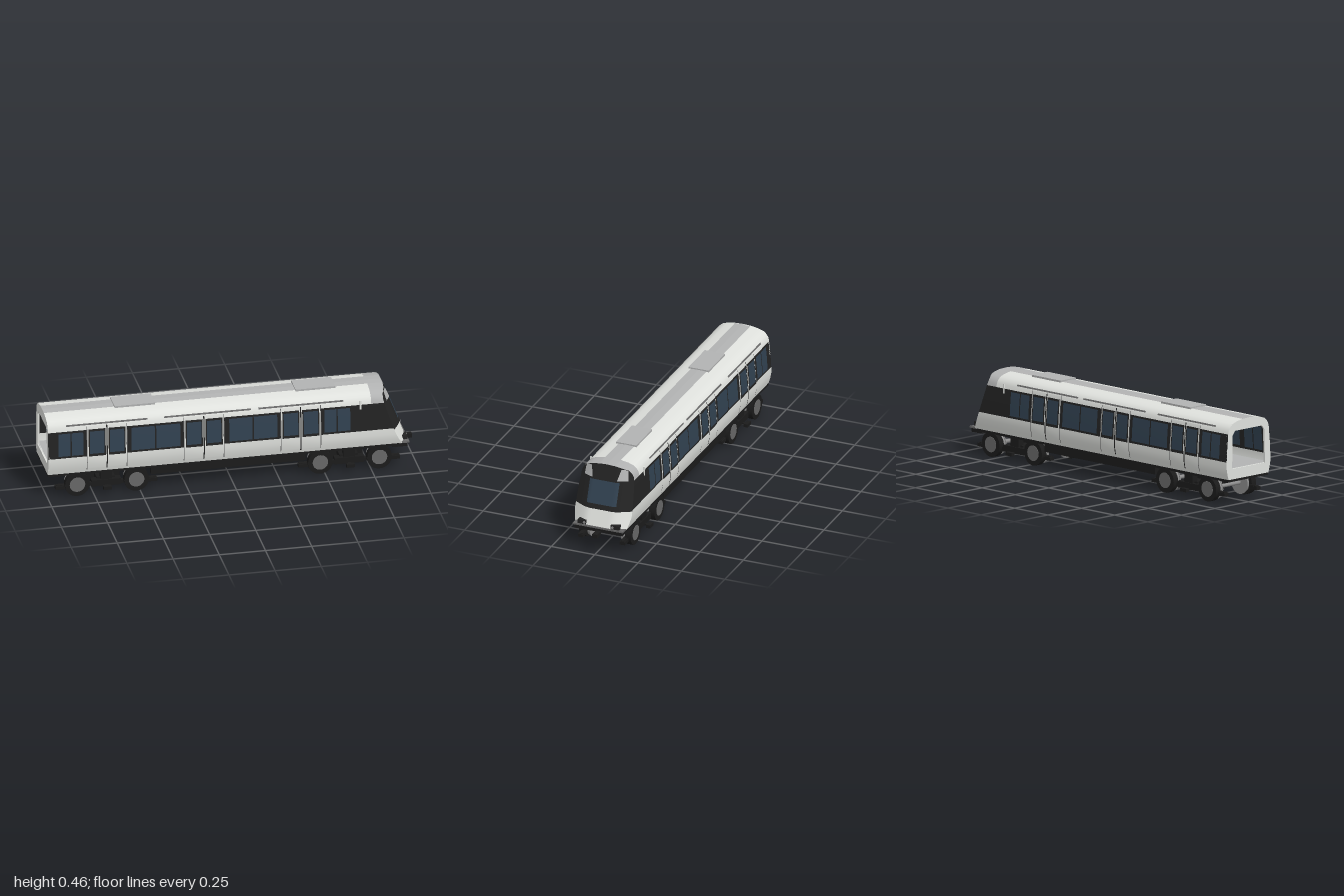
import * as THREE from 'three';

const mat = (name, color) => new THREE.MeshStandardMaterial({ name, color, side: THREE.DoubleSide });

// Half cross-section of the body: [half width, height]
const PROFILE = [[0.148, 0.138], [0.156, 0.165], [0.163, 0.2], [0.1625, 0.235], [0.158, 0.31], [0.151, 0.385],
  [0.146, 0.405], [0.136, 0.422], [0.119, 0.437], [0.09, 0.447], [0.045, 0.455], [0, 0.457]];

function halfWidth(y) {
  for (let i = 1; i < PROFILE.length; i++) {
    const [w0, y0] = PROFILE[i - 1], [w1, y1] = PROFILE[i];
    if (y <= y1) return w0 + (w1 - w0) * (y - y0) / (y1 - y0);
  }
  return 0;
}

// Heights between two limits, including the profile corners
const heights = (y0, y1) => [y0, ...PROFILE.map(p => p[1]).filter(y => y > y0 + 1e-4 && y < y1 - 1e-4), y1];

// Raked, corner-rounded cab front
const noseX = (y, z) => 0.953 - 0.38 * (y - 0.138) - 0.045 * Math.max(0, (Math.abs(z) - 0.07) / 0.09) ** 1.3;

// Surface from a rectangular grid of points
function grid(rows) {
  const n = rows[0].length, index = [];
  for (let i = 0; i < rows.length - 1; i++) for (let j = 0; j < n - 1; j++) {
    const a = i * n + j, b = a + n;
    index.push(a, b, a + 1, b, b + 1, a + 1);
  }
  const g = new THREE.BufferGeometry();
  g.setAttribute('position', new THREE.Float32BufferAttribute(rows.flat(2), 3));
  g.setIndex(index);
  g.computeVertexNormals();
  return g;
}

export function createModel() {
  const light = mat('lightShell', 0xdfe1dd), roof = mat('roofGrey', 0xb2b3b3), black = mat('blackBand', 0x232323),
    glass = mat('glass', 0x314150), under = mat('underframe', 0x1b1b1b), steel = mat('steel', 0x8c8c8c),
    hub = mat('hubGrey', 0x686868);
  const model = new THREE.Group();

  const add = (name, geo, m, x = 0, y = 0, z = 0, parent = model) => {
    const mesh = new THREE.Mesh(geo, m);
    mesh.name = name;
    mesh.position.set(x, y, z);
    parent.add(mesh);
    return mesh;
  };
  // Box given by its limits
  const box = (name, m, x0, x1, y0, y1, z0, z1, parent) => add(name, new THREE.BoxGeometry(x1 - x0, y1 - y0, z1 - z0), m,
    (x0 + x1) / 2, (y0 + y1) / 2, (z0 + z1) / 2, parent);
  const pair = (name, m, x0, x1, y0, y1, z0, z1, parent) => {
    box(name, m, x0, x1, y0, y1, z0, z1, parent);
    box(name, m, x0, x1, y0, y1, -z1, -z0, parent);
  };
  // Skin patch following the body side, mirrored; x1 = null runs it to the nose
  const side = (name, m, x0, x1, y0, y1, off = 0) => {
    for (const s of [1, -1]) {
      const ends = s > 0 ? [0, 1] : [1, 0];
      add(name, grid(ends.map(t => heights(y0, y1).map(y => {
        const w = halfWidth(y);
        return [t ? (x1 ?? noseX(y, w)) : x0, y, s * (w + off)];
      }))), m);
    }
  };
  // Patch on the cab front; limits of z are functions of height
  const front = (name, m, y0, y1, za, zb, off = 0, n = 20) => add(name, grid(heights(y0, y1).map(y =>
    Array.from({ length: n + 1 }, (_, i) => {
      const z = za(y) + (zb(y) - za(y)) * i / n;
      return [noseX(y, z) + off, y, z];
    }))), m);

  // Body shell
  side('lowerSide', light, -1, null, 0.138, 0.235);
  side('windowBand', black, -1, null, 0.235, 0.385);
  side('roofSide', light, -1, 0.75, 0.385, 0.455);
  side('cabRoofSide', roof, 0.75, null, 0.385, 0.455);
  side('roofCentre', roof, -1, null, 0.455, 0.457);
  box('interiorFloor', roof, -0.995, 0.82, 0.185, 0.195, -0.155, 0.155);

  // Open rear end wall with a gangway opening
  const wall = new THREE.Shape();
  PROFILE.forEach(([w, y], i) => (i ? wall.lineTo(w, y) : wall.moveTo(w, y)));
  [...PROFILE].reverse().slice(1).forEach(([w, y]) => wall.lineTo(-w, y));
  const hole = new THREE.Path();
  hole.moveTo(-0.122, 0.195).lineTo(-0.118, 0.375).lineTo(-0.1, 0.398).lineTo(0.1, 0.398)
    .lineTo(0.118, 0.375).lineTo(0.122, 0.195).closePath();
  wall.holes.push(hole);
  add('rearWall', new THREE.ExtrudeGeometry(wall, { depth: 0.01, bevelEnabled: false }), light, -1, 0, 0)
    .rotation.y = Math.PI / 2;

  // Side windows, seen from outside and inside
  const window = (x0, x1) => [0.003, -0.003].forEach(o => side('sideWindow', glass, x0, x1, 0.247, 0.375, o));
  [[-0.945, -0.88], [-0.873, -0.81], [-0.55, -0.423], [-0.415, -0.285], [-0.02, 0.105], [0.113, 0.24],
    [0.495, 0.56], [0.567, 0.635]].forEach(([a, b]) => window(a, b));

  // Sliding doors with two leaves each
  for (const c of [-0.682, -0.157, 0.367]) {
    for (const d of [-0.054, 0.054]) {
      const x = c + d;
      side('doorLeaf', light, x - 0.052, x + 0.052, 0.155, 0.405, 0.003);
      side('doorWindowFrame', black, x - 0.046, x + 0.046, 0.235, 0.388, 0.005);
      side('doorWindow', glass, x - 0.039, x + 0.039, 0.25, 0.377, 0.007);
      side('doorWindowInside', glass, x - 0.039, x + 0.039, 0.25, 0.377, -0.003);
    }
    side('doorSeam', black, c - 0.003, c + 0.003, 0.155, 0.405, 0.004);
    for (const e of [-0.108, 0.108]) side('doorEdge', hub, c + e - 0.002, c + e + 0.002, 0.155, 0.405, 0.004);
  }

  // Gutters above the doors and cab grab rails
  [[-0.9, -0.46], [-0.37, 0.1], [0.14, 0.6]].forEach(([a, b]) => side('gutter', hub, a, b, 0.411, 0.419, 0.004));
  pair('grabRail', light, 0.687, 0.695, 0.36, 0.41, 0.149, 0.157);

  // Roof hatches
  box('roofHatch', roof, -0.62, -0.4, 0.452, 0.463, -0.058, 0.058);
  box('roofHatch', roof, 0.36, 0.575, 0.452, 0.463, -0.058, 0.058);

  // Cab front
  const left = y => halfWidth(y), right = y => -halfWidth(y);
  front('cabLower', light, 0.138, 0.228, right, left);
  front('cabUpper', black, 0.228, 0.457, right, left);
  front('windscreen', glass, 0.255, 0.376, () => -0.085, () => 0.085, 0.004);
  const inner = y => 0.07 + (y - 0.385) * 0.26;
  const outer = y => Math.min(0.126 - (y - 0.385) * 0.1, halfWidth(y));
  front('cornerPanel', roof, 0.385, 0.442, inner, outer, 0.004, 4);
  front('cornerPanel', roof, 0.385, 0.442, y => -outer(y), y => -inner(y), 0.004, 4);
  pair('lampHousing', black, 0.9, 0.952, 0.142, 0.166, 0.071, 0.119);
  for (const s of [-1, 1]) {
    add('headlamp', new THREE.CylinderGeometry(0.007, 0.007, 0.006, 16), steel, 0.953, 0.154, s * 0.081)
      .rotation.z = Math.PI / 2;
  }

  // Bumper and coupler
  box('bumperLip', hub, 0.88, 0.958, 0.134, 0.143, -0.145, 0.145);
  box('bumper', under, 0.87, 0.95, 0.112, 0.131, -0.138, 0.138);
  box('couplerBar', under, 0.85, 0.96, 0.102, 0.116, -0.01, 0.01);
  box('couplerHead', under, 0.945, 1, 0.097, 0.119, -0.014, 0.014);

  // Underframe
  box('floorPan', under, -0.998, 0.9, 0.125, 0.139, -0.148, 0.148);
  box('equipmentTray', under, -0.44, 0.395, 0.108, 0.126, -0.14, 0.14);
  pair('equipmentSkirt', under, -0.44, 0.395, 0.085, 0.126, 0.11, 0.142);
  box('equipmentBox', under, -0.02, 0.3, 0.075, 0.11, -0.045, 0.045);

  // Cylinder lying across the car
  const disc = (name, m, r, z0, z1, x, y, parent) => add(name, new THREE.CylinderGeometry(r, r, z1 - z0, 28), m,
    x, y, (z0 + z1) / 2, parent).rotation.x = Math.PI / 2;

  // Bogies with rubber tyres outside and flanged steel wheels inside
  for (const bx of [-0.68, 0.635]) {
    const bogie = new THREE.Group();
    bogie.name = 'bogie';
    bogie.position.x = bx;
    model.add(bogie);
    for (const wx of [-0.16, 0.16]) {
      disc('axle', steel, 0.01, -0.12, 0.12, wx, 0.068, bogie);
      for (const s of [-1, 1]) {
        const span = (a, b) => (s > 0 ? [a, b] : [-b, -a]);
        disc('tyre', under, 0.067, ...span(0.116, 0.149), wx, 0.067, bogie);
        disc('hubCap', hub, 0.042, ...span(0.14, 0.151), wx, 0.067, bogie);
        disc('steelWheel', steel, 0.056, ...span(0.093, 0.107), wx, 0.067, bogie);
        disc('wheelFlange', steel, 0.061, ...span(0.09, 0.094), wx, 0.067, bogie);
      }
    }
    pair('sideBeam', under, -0.27, 0.27, 0.043, 0.062, 0.108, 0.128, bogie);
    pair('axleBox', under, -0.08, 0.08, 0.04, 0.075, 0.095, 0.135, bogie);
    pair('beamEnd', under, -0.275, -0.225, 0.04, 0.058, 0.105, 0.135, bogie);
    pair('beamEnd', under, 0.225, 0.275, 0.04, 0.058, 0.105, 0.135, bogie);
    pair('suspension', under, -0.03, 0.03, 0.07, 0.128, 0.092, 0.13, bogie);
    box('motor', under, -0.09, 0.09, 0.035, 0.1, -0.045, 0.045, bogie);
    box('bolster', under, -0.05, 0.05, 0.06, 0.085, -0.115, 0.115, bogie);
    pair('collectorShoe', under, -0.022, 0.022, 0.032, 0.05, 0.15, 0.173, bogie);
    pair('collectorArm', under, -0.008, 0.008, 0.037, 0.046, 0.125, 0.155, bogie);
  }
  return model;
}
